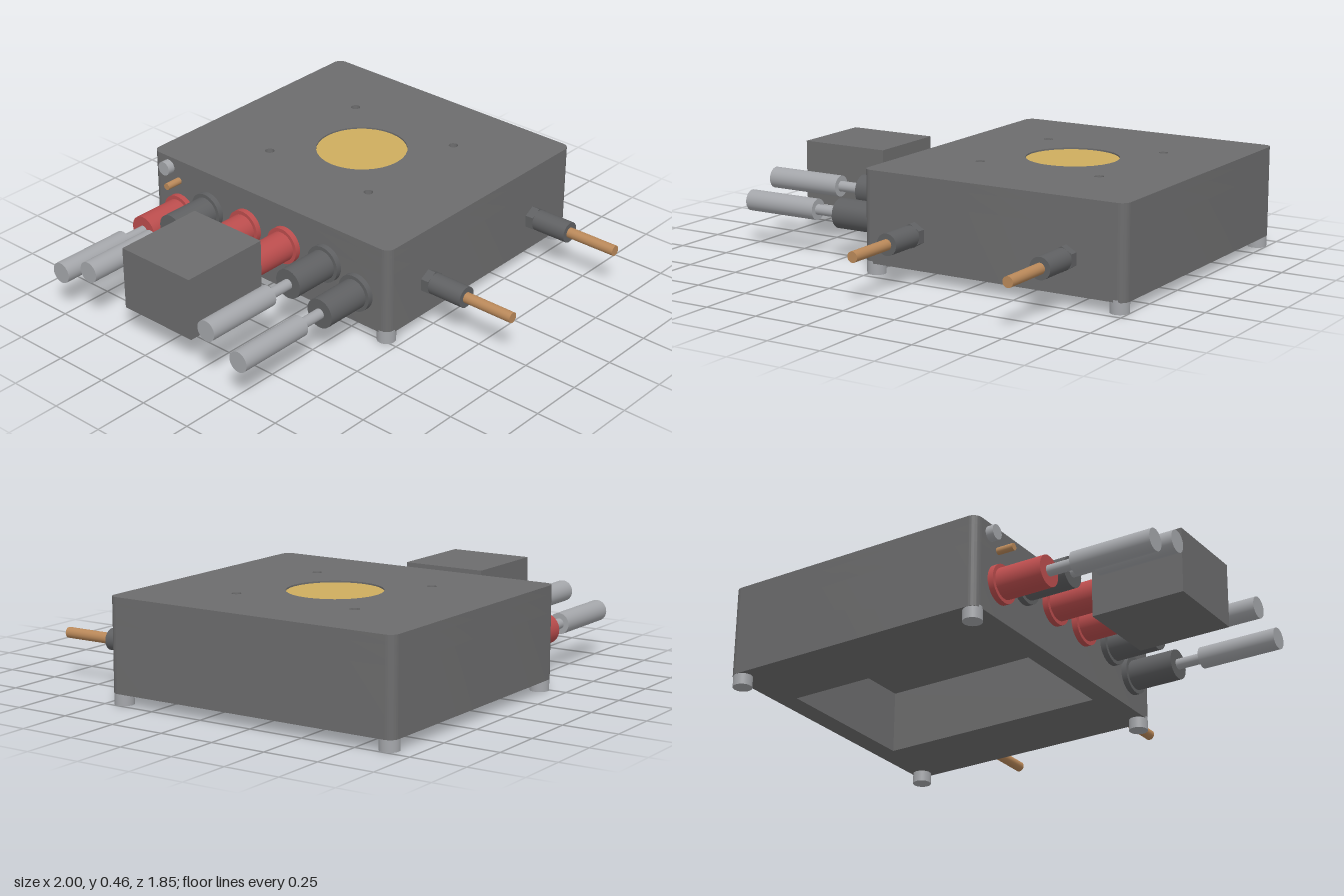
import * as THREE from 'three';
import { toCreasedNormals } from 'three/addons/utils/BufferGeometryUtils.js';

const mat = (name, color) => new THREE.MeshStandardMaterial({ name, color });

export function createModel() {
  const root = new THREE.Group();
  root.name = 'heatedTableUnit';
  const housingGrey = mat('housing grey', 0x6c6c6d);
  const darkGrey = mat('connector grey', 0x5f6062);
  const red = mat('socket red', 0xbb4d4d);
  const silver = mat('silver metal', 0xa4a6aa);
  const copper = mat('copper', 0xb98859);
  const gold = mat('gold disc', 0xcdad5e);

  const add = (parent, name, geometry, material, x = 0, y = 0, z = 0) => {
    const m = new THREE.Mesh(geometry, material);
    m.name = name;
    m.position.set(x, y, z);
    parent.add(m);
    return m;
  };
  // Cylinder lying along 'x' or 'z' between two coordinates a and b
  const rod = (parent, name, axis, a, b, r, material, u, y, sides = 32) => {
    const g = new THREE.CylinderGeometry(r, r, Math.abs(b - a), sides);
    if (axis === 'x') g.rotateZ(Math.PI / 2);
    else g.rotateX(Math.PI / 2);
    const mid = (a + b) / 2;
    return add(parent, name, g, material, axis === 'x' ? mid : u, y, axis === 'x' ? u : mid);
  };

  // Housing: layers with a rounded outline and optional openings
  const cx = 0.365, cz = -0.2275, W = 1.27, D = 1.395;
  const housing = new THREE.Group();
  housing.name = 'housing';
  root.add(housing);
  const outline = () => {
    const s = new THREE.Shape(), w = W / 2, d = D / 2, r = 0.04;
    s.moveTo(-w + r, -d);
    s.lineTo(w - r, -d);
    s.absarc(w - r, -d + r, r, -Math.PI / 2, 0);
    s.lineTo(w, d - r);
    s.absarc(w - r, d - r, r, 0, Math.PI / 2);
    s.lineTo(-w + r, d);
    s.absarc(-w + r, d - r, r, Math.PI / 2, Math.PI);
    s.lineTo(-w, -d + r);
    s.absarc(-w + r, -d + r, r, Math.PI, Math.PI * 1.5);
    return s;
  };
  const layer = (name, y0, y1, holes) => {
    const s = outline();
    s.holes.push(...holes);
    let g = new THREE.ExtrudeGeometry(s, { depth: y1 - y0, bevelEnabled: false, curveSegments: 16 });
    g.rotateX(-Math.PI / 2);
    g = toCreasedNormals(g, 0.5);
    add(housing, name, g, housingGrey, cx, y0, cz);
  };
  const circle = (x, y, r) => new THREE.Path().absarc(x, y, r, 0, Math.PI * 2, true);
  // Underside pocket
  const px = 0.54, pz = 0.355;
  const pocket = new THREE.Path([[-px, -pz], [-px, pz], [px, pz], [px, -pz]].map(p => new THREE.Vector2(...p)));
  pocket.closePath();
  const screwHoles = [];
  for (const sx of [-1, 1]) for (const sz of [-1, 1]) screwHoles.push(circle(-0.002 + sx * 0.294, sz * 0.294, 0.021));
  layer('lowerWalls', 0.05, 0.34, [pocket]);
  layer('middleSlab', 0.34, 0.42, []);
  layer('topPlate', 0.42, 0.46, [circle(-0.002, 0, 0.207), ...screwHoles]);

  // Recessed round contact surface
  add(root, 'goldDisc', new THREE.CylinderGeometry(0.207, 0.207, 0.036, 48), gold, cx - 0.002, 0.435, cz);

  // Four feet
  for (const x of [-0.229, 0.957]) for (const z of [-0.882, 0.429])
    add(root, 'foot', new THREE.CylinderGeometry(0.042, 0.042, 0.06, 32), silver, x, 0.03, z);

  // Side sockets: [z, y, material, has its own cable]
  const sockets = [
    [-0.755, 0.205, red, true],
    [-0.577, 0.278, darkGrey, true],
    [-0.346, 0.278, red, false],
    [-0.114, 0.278, red, false],
    [0.122, 0.278, darkGrey, true],
    [0.3, 0.205, darkGrey, true],
  ];
  for (const [z, y, material, cable] of sockets) {
    const g = new THREE.Group();
    g.name = 'sideSocket';
    root.add(g);
    rod(g, 'socketFlange', 'x', -0.296, -0.26, 0.085, material, z, y);
    rod(g, 'socketBarrel', 'x', -0.51, -0.29, 0.068, material, z, y);
    if (!cable) continue;
    rod(g, 'pin', 'x', -0.64, -0.505, 0.024, silver, z, y);
    rod(g, 'plugSleeve', 'x', -1, -0.633, 0.048, silver, z, y);
  }

  // Block plugged into the middle pair of sockets
  add(root, 'plugBlock', new THREE.BoxGeometry(0.427, 0.29, 0.392), housingGrey, -0.7235, 0.284, -0.2275);

  // Ground stud and small copper rod near the back corner
  rod(root, 'groundStud', 'x', -0.305, -0.26, 0.033, silver, -0.825, 0.41);
  rod(root, 'groundRod', 'x', -0.348, -0.26, 0.016, copper, -0.765, 0.357);

  // Front tube fittings: hex nut, sleeve and copper tube
  for (const x of [-0.005, 0.73]) {
    const g = new THREE.Group();
    g.name = 'tubeFitting';
    root.add(g);
    const nut = rod(g, 'hexNut', 'z', 0.455, 0.508, 0.055, darkGrey, x, 0.206, 6);
    nut.geometry = toCreasedNormals(nut.geometry, 0.5);
    rod(g, 'fittingSleeve', 'z', 0.5, 0.68, 0.048, darkGrey, x, 0.206);
    rod(g, 'copperTube', 'z', 0.67, 0.925, 0.024, copper, x, 0.206);
  }
  return root;
}
